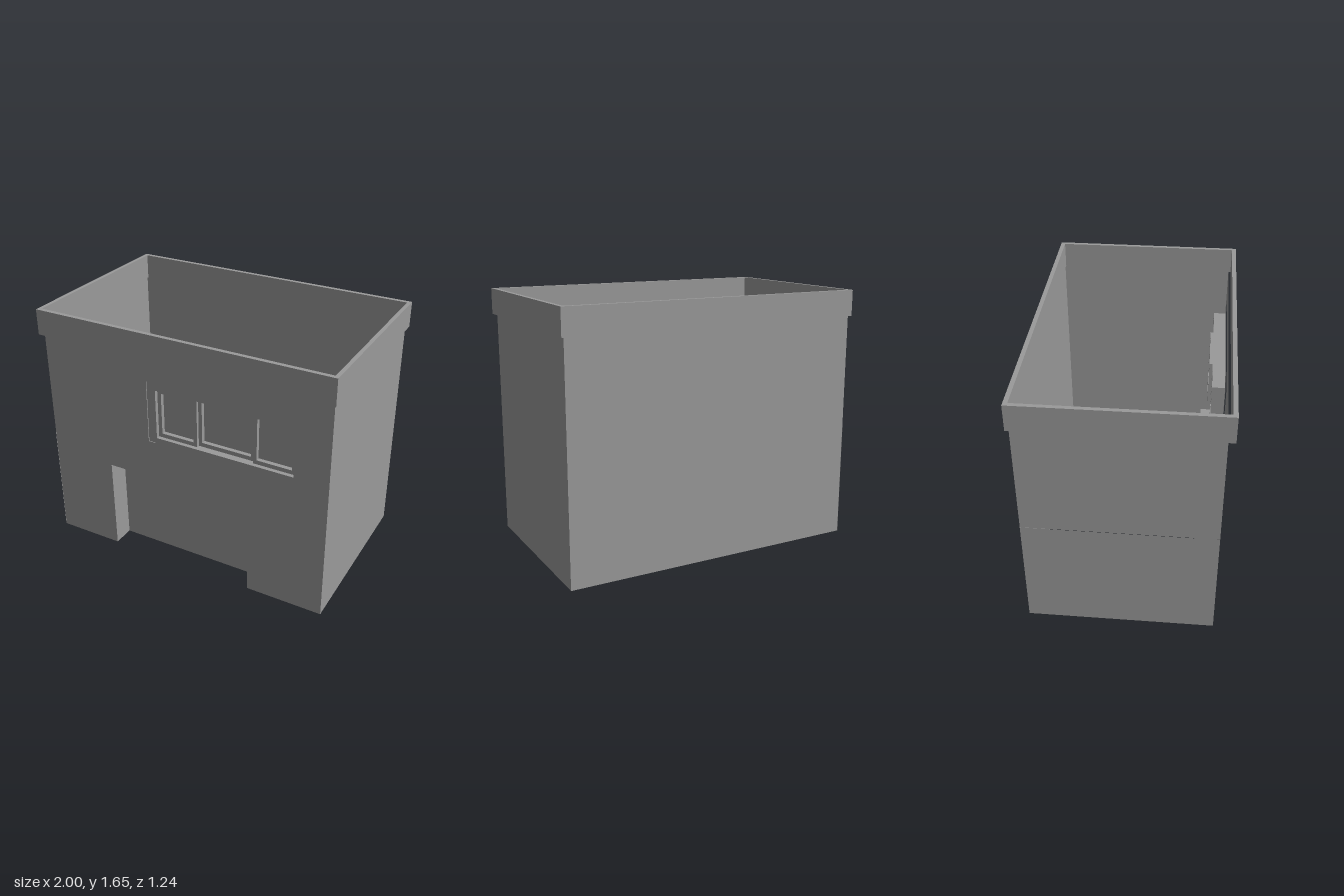
import * as THREE from 'three';

const material = new THREE.MeshStandardMaterial({ color: 0x9a9a9a, flatShading: true, side: THREE.DoubleSide });

// Body limits
const LEFT = 0.98, RIGHT = -0.987, FRONT = 0.577, BACK = -0.598, TOP = 1.482;

function add(parent, name, geometry) {
  const mesh = new THREE.Mesh(geometry, material);
  mesh.name = name;
  parent.add(mesh);
  return mesh;
}

// Closed outline of a rectangle, as a Shape or a Path for holes
function rect(x0, x1, y0, y1, Type = THREE.Shape) {
  return new Type([[x0, y0], [x1, y0], [x1, y1], [x0, y1]].map(p => new THREE.Vector2(...p)));
}

// Upright sheet facing z
function sheetZ(x0, x1, y0, y1, z) {
  return new THREE.PlaneGeometry(x1 - x0, y1 - y0).translate((x0 + x1) / 2, (y0 + y1) / 2, z);
}

// Upright sheet facing x
function sheetX(z0, z1, y0, y1, x) {
  return new THREE.PlaneGeometry(z1 - z0, y1 - y0).rotateY(Math.PI / 2)
    .translate(x, (y0 + y1) / 2, (z0 + z1) / 2);
}

// Level sheet facing y
function sheetY(x0, x1, z0, z1, y) {
  return new THREE.PlaneGeometry(x1 - x0, z1 - z0).rotateX(-Math.PI / 2)
    .translate((x0 + x1) / 2, y, (z0 + z1) / 2);
}

function createWalls() {
  const walls = new THREE.Group();
  walls.name = 'walls';
  // Front wall with the doorway notch and the window opening
  const front = new THREE.Shape([
    [RIGHT, 0], [-0.542, 0], [-0.542, 0.63], [0.47, 0.63], [0.47, 0], [LEFT, 0], [LEFT, TOP], [RIGHT, TOP],
  ].map(p => new THREE.Vector2(...p)));
  front.holes.push(rect(-0.235, 0.815, 0.9, 1.32, THREE.Path));
  add(walls, 'frontWall', new THREE.ShapeGeometry(front).translate(0, 0, FRONT));
  add(walls, 'backWall', sheetZ(RIGHT, LEFT, 0, TOP, BACK));
  add(walls, 'leftWall', sheetX(BACK, FRONT, 0, TOP, LEFT));
  // The right wall steps out very slightly below mid height
  add(walls, 'rightWallUpper', sheetX(BACK, FRONT, 0.76, TOP, RIGHT));
  add(walls, 'rightWallLower', sheetX(BACK, FRONT, 0, 0.76, RIGHT - 0.002));
  return walls;
}

function createDoorway() {
  const doorway = new THREE.Group();
  doorway.name = 'doorway';
  const x0 = -0.542, x1 = 0.47, h = 0.63, z = 0.433;
  add(doorway, 'doorPanel', sheetZ(x0, x1, 0, h, z));
  add(doorway, 'doorwayCeiling', sheetY(x0, x1, z, FRONT, h));
  for (const x of [x0, x1]) add(doorway, 'doorwayReveal', sheetX(z, FRONT, 0, h, x));
  return doorway;
}

function createWindow() {
  const group = new THREE.Group();
  group.name = 'window';
  const x0 = -0.177, x1 = 0.756, y0 = 0.935, y1 = 1.267, zFace = 0.571, rail = 0.027, depth = 0.055;

  // Thin surround filling the wall opening
  const surround = rect(-0.235, 0.815, 0.9, 1.32);
  surround.holes.push(rect(x0, x1, y0, y1, THREE.Path));
  add(group, 'windowSurround', new THREE.ShapeGeometry(surround).translate(0, 0, zFace));

  // Three deep frames, the middle one set further back: [left edge, right edge, post width, back z]
  const bays = [[x0, 0.098, 0.025, 0.49], [0.088, 0.489, 0.034, 0.47], [0.48, x1, 0.023, 0.49]];
  for (const [a, b, post, z] of bays) {
    const opening = [a + post, b - post, y0 + rail, y1 - rail];
    const frame = rect(a, b, y0, y1);
    frame.holes.push(rect(...opening, THREE.Path));
    add(group, 'windowFrame', new THREE.ExtrudeGeometry(frame, { depth, bevelEnabled: false }).translate(0, 0, z));
    add(group, 'windowPane', sheetZ(...opening, z + depth / 2));
  }

  // Sides of the recess
  for (const y of [y0, y1]) add(group, 'windowSill', sheetY(x0, x1, 0.49, zFace, y));
  for (const x of [x0, x1]) add(group, 'windowReveal', sheetX(0.49, zFace, y0, y1, x));
  return group;
}

// Raised band around the open top
function createParapet() {
  const ring = rect(-1, 1, -0.618, 0.618);
  ring.holes.push(rect(-0.975, 0.975, -0.591, 0.591, THREE.Path));
  const geometry = new THREE.ExtrudeGeometry(ring, { depth: 0.168, bevelEnabled: false });
  return geometry.rotateX(-Math.PI / 2).translate(0, TOP, 0);
}

export function createModel() {
  const model = new THREE.Group();
  model.name = 'building';
  model.add(createWalls(), createDoorway(), createWindow());
  add(model, 'parapet', createParapet());
  return model;
}
